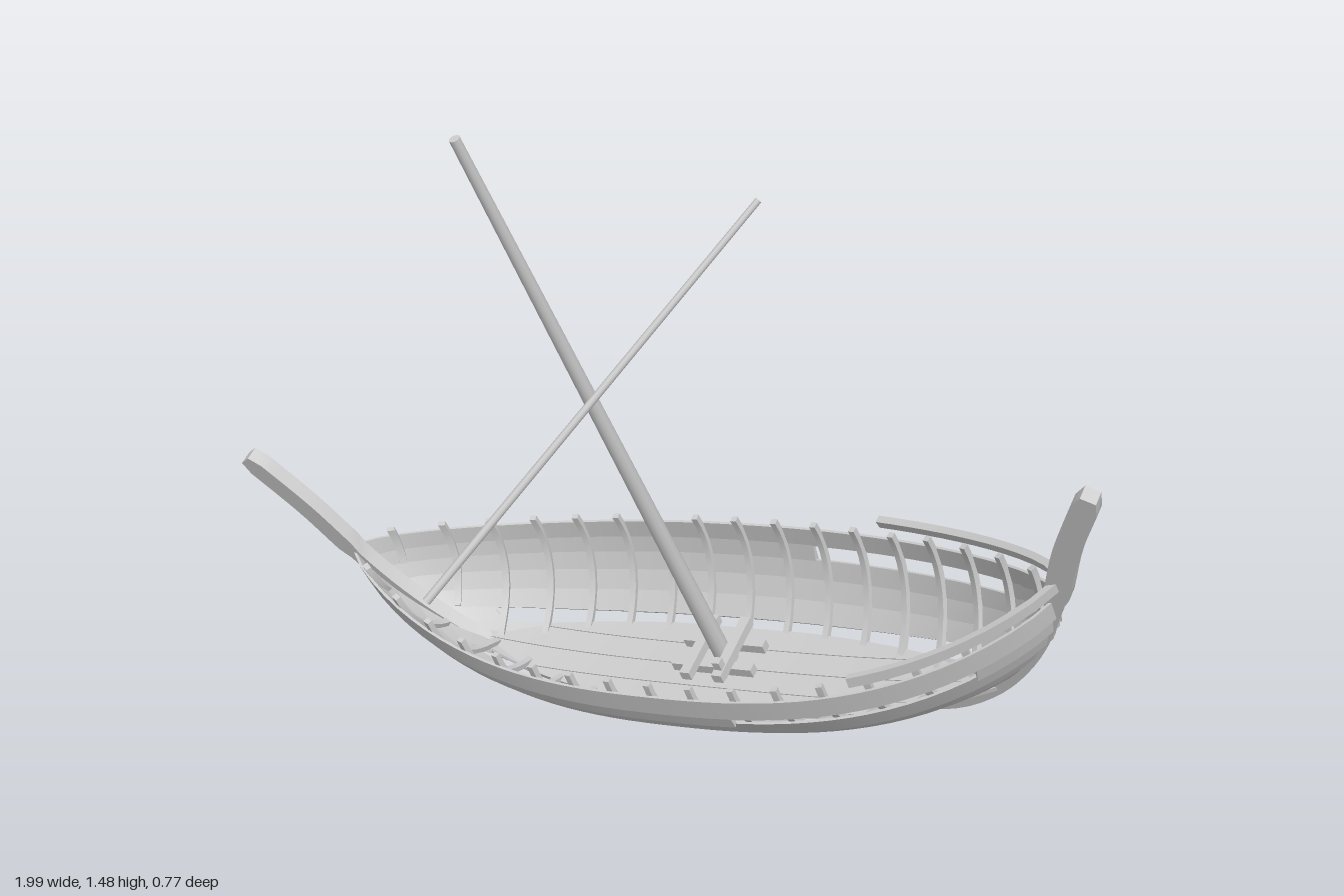
import * as THREE from 'three';
import { toCreasedNormals } from 'three/addons/utils/BufferGeometryUtils.js';

const V = (x, y, z) => new THREE.Vector3(x, y, z);
const material = new THREE.MeshStandardMaterial({ color: 0xcccccc, roughness: 0.9 });

// Closed solid through rings of four corners; the winding follows the signed volume.
function loft(rings) {
  const pos = rings.flat().flatMap((p) => [p.x, p.y, p.z]);
  const idx = [];
  const quad = (a, b, c, d) => idx.push(a, b, c, a, c, d);
  const last = (rings.length - 1) * 4;
  for (let i = 0; i < last; i += 4) {
    for (let j = 0; j < 4; j++) {
      const k = (j + 1) % 4;
      quad(i + j, i + k, i + 4 + k, i + 4 + j);
    }
  }
  quad(3, 2, 1, 0);
  quad(last, last + 1, last + 2, last + 3);
  const at = (i) => V().fromArray(pos, i * 3);
  let volume = 0;
  for (let i = 0; i < idx.length; i += 3) {
    volume += at(idx[i]).dot(at(idx[i + 1]).cross(at(idx[i + 2])));
  }
  if (volume < 0) idx.reverse();
  const geo = new THREE.BufferGeometry();
  geo.setAttribute('position', new THREE.Float32BufferAttribute(pos, 3));
  geo.setIndex(idx);
  return toCreasedNormals(geo, 0.5);
}

const steps = (a, b, n, f) => Array.from({ length: n + 1 }, (_, i) => f(a + ((b - a) * i) / n));

// Hull surface: s runs stern (-1) to bow (1), v runs keel (0) to rail (1).
const endX = (v) => 0.555 + 0.57 * v - 0.255 * v * v;
function skin(s, v) {
  const a = (v * Math.PI) / 2;
  const t = Math.min(Math.abs(s), 1);
  const midY = -0.09 + 0.23 * (1 - Math.cos(a));
  const endY = -0.068 + 0.335 * v;
  const full = Math.pow(1 - Math.pow(t, 2.4), 0.8);
  return V(s * endX(v), THREE.MathUtils.lerp(midY, endY, t ** 3), 0.247 * Math.sin(a) * full);
}

// A point moved off the skin along its normal, then mirrored by side.
function hullPoint(s, v, off, side) {
  const c = THREE.MathUtils.clamp(s, -0.985, 0.985);
  const ds = skin(c + 0.01, v).sub(skin(c - 0.01, v));
  const dv = skin(c, v + 0.01).sub(skin(c, v - 0.01));
  const p = skin(s, v).addScaledVector(ds.cross(dv).normalize(), off);
  p.z = Math.max(p.z, 0) * side;
  return p;
}

function plank(s0, s1, v0, v1, inner, low, high, side) {
  const n = Math.max(4, Math.ceil((s1 - s0) * 20));
  return loft(steps(s0, s1, n, (s) => [
    hullPoint(s, v0, inner, side), hullPoint(s, v1, inner, side),
    hullPoint(s, v1, high, side), hullPoint(s, v0, low, side),
  ]));
}

export function createModel() {
  const ship = new THREE.Group();
  ship.name = 'ship';
  const add = (name, geo, parent = ship) => {
    const mesh = new THREE.Mesh(geo, material);
    mesh.name = name;
    parent.add(mesh);
    return mesh;
  };
  const group = (name) => {
    const g = new THREE.Group();
    g.name = name;
    ship.add(g);
    return g;
  };

  // Keel sweeping up into both end posts
  const half = [[0.25, -0.094], [0.43, -0.09], [0.55, -0.072], [0.655, -0.015],
    [0.74, 0.065], [0.81, 0.16], [0.87, 0.275], [0.925, 0.4], [1.014, 0.555]];
  const path = new THREE.CatmullRomCurve3([
    ...half.map(([x, y]) => V(-x, y, 0)).reverse(), ...half.map(([x, y]) => V(x, y, 0)),
  ]);
  add('keelAndPosts', loft(steps(0, 1, 80, (t) => {
    const p = path.getPointAt(t);
    const d = path.getTangentAt(t);
    const n = V(-d.y, d.x, 0);
    const h = p.y > 0.28 ? 0.026 : 0.018;
    const tip = t < 0.004 || t > 0.996 ? 0.6 : 1;
    return [[-1, -1], [1, -1], [1, 1], [-1, 1]].map(([a, b]) =>
      p.clone().addScaledVector(n, a * h * tip).add(V(0, 0, b * 0.017)));
  })));

  // Overlapping strakes; some rows have lost a length of plank
  const strakes = [
    [0.0, 0.1, [[-1, 1]]], [0.1, 0.19, [[-1, 1]]], [0.19, 0.27, [[-1, 1]]],
    [0.28, 0.39, [[-1, -0.85], [0.85, 1]]],
    [0.39, 0.52, [[-1, 1]]], [0.52, 0.65, [[-1, 1]]], [0.65, 0.77, [[-1, 1]]],
    [0.77, 0.88, [[-1, 0.2], [0.82, 1]]],
    [0.88, 1.0, [[-1, 1]]],
  ];
  const planking = group('hullPlanking');
  const ribs = group('ribs');
  const rails = group('bowRails');
  for (const side of [1, -1]) {
    for (const [v0, v1, runs] of strakes) {
      for (const [s0, s1] of runs) {
        add('strake', plank(s0, s1, v0, v1 + 0.012, -0.002, 0.011, 0.004, side), planking);
      }
    }
    // Loose rail above the bow planking, shorter on the left
    add('bowRail', plank(side > 0 ? 0.54 : 0.42, 1, 1.1, 1.16, 0.004, 0.02, 0.02, side), rails);

    // Ribs standing proud of the rail, taller under the loose rail
    for (let i = -8; i <= 8; i++) {
      const x = i * 0.1;
      let v0 = 0.02;
      while (Math.abs(x) / endX(v0) > 0.95) v0 += 0.02;
      add('rib', loft(steps(v0, i > 4 ? 1.12 : 1.09, 14, (v) => {
        const a = (x - 0.007) / endX(v);
        const b = (x + 0.007) / endX(v);
        return [hullPoint(a, v, -0.014, side), hullPoint(b, v, -0.014, side),
          hullPoint(b, v, -0.001, side), hullPoint(a, v, -0.001, side)];
      })), ribs);
    }
  }

  // Floor planks trimmed to the narrowing bottom
  const floor = group('floor');
  const halfWidth = 0.116;
  for (let k = -2; k < 2; k++) {
    const z = k * 0.058;
    const nearest = Math.min(Math.abs(z), Math.abs(z + 0.058));
    const reach = 0.7 * Math.pow(1 - nearest / halfWidth, 1 / 2.4);
    add('floorPlank', loft(steps(-reach, reach, 24, (x) => {
      const w = halfWidth * (1 - Math.pow(Math.abs(x) / 0.7, 2.4)) + 0.002;
      const a = THREE.MathUtils.clamp(z + 0.001, -w, w);
      const b = THREE.MathUtils.clamp(z + 0.057, -w, w);
      const y = -0.05 + 0.14 * Math.abs(x) ** 3;
      return [V(x, y - 0.01, a), V(x, y - 0.01, b), V(x, y, b), V(x, y, a)];
    })), floor);
  }

  // Mast step: crossed beams around the mast foot
  const step = group('mastStep');
  step.position.set(-0.01, 0, -0.01);
  const beam = (w, h, d, x, y, z) =>
    add('stepBeam', new THREE.BoxGeometry(w, h, d), step).position.set(x, y, z);
  for (const k of [-1, 1]) {
    beam(0.2, 0.022, 0.022, 0, -0.02, k * 0.034);
    beam(0.024, 0.022, 0.17, k * 0.04, 0.002, 0);
    beam(0.018, 0.05, 0.018, k * 0.04, 0.01, k * 0.06);
  }
  beam(0.05, 0.02, 0.05, 0, -0.04, 0);

  // Mast and slanted yard
  const spar = (name, a, b, r0, r1) => {
    const geo = new THREE.CylinderGeometry(r1, r0, a.distanceTo(b), 10);
    const mesh = add(name, geo);
    mesh.position.copy(a).lerp(b, 0.5);
    mesh.quaternion.setFromUnitVectors(V(0, 1, 0), b.clone().sub(a).normalize());
  };
  spar('mast', V(-0.01, -0.05, -0.02), V(-0.01, 1.414, -0.02), 0.021, 0.011);
  spar('yard', V(-0.276, 0.574, 0.395), V(0.291, 0.94, -0.395), 0.009, 0.007);

  // The whole ship lies heeled, bow raised
  const fore = V(0.966, 0.203, 0.165).normalize();
  const across = fore.clone().cross(V(-0.248, 0.899, 0.36)).normalize();
  const up = across.clone().cross(fore);
  ship.quaternion.setFromRotationMatrix(new THREE.Matrix4().makeBasis(fore, up, across));
  ship.position.set(0.145, 0.203, -0.153);

  const model = new THREE.Group();
  model.name = 'heeledShip';
  model.add(ship);
  return model;
}
